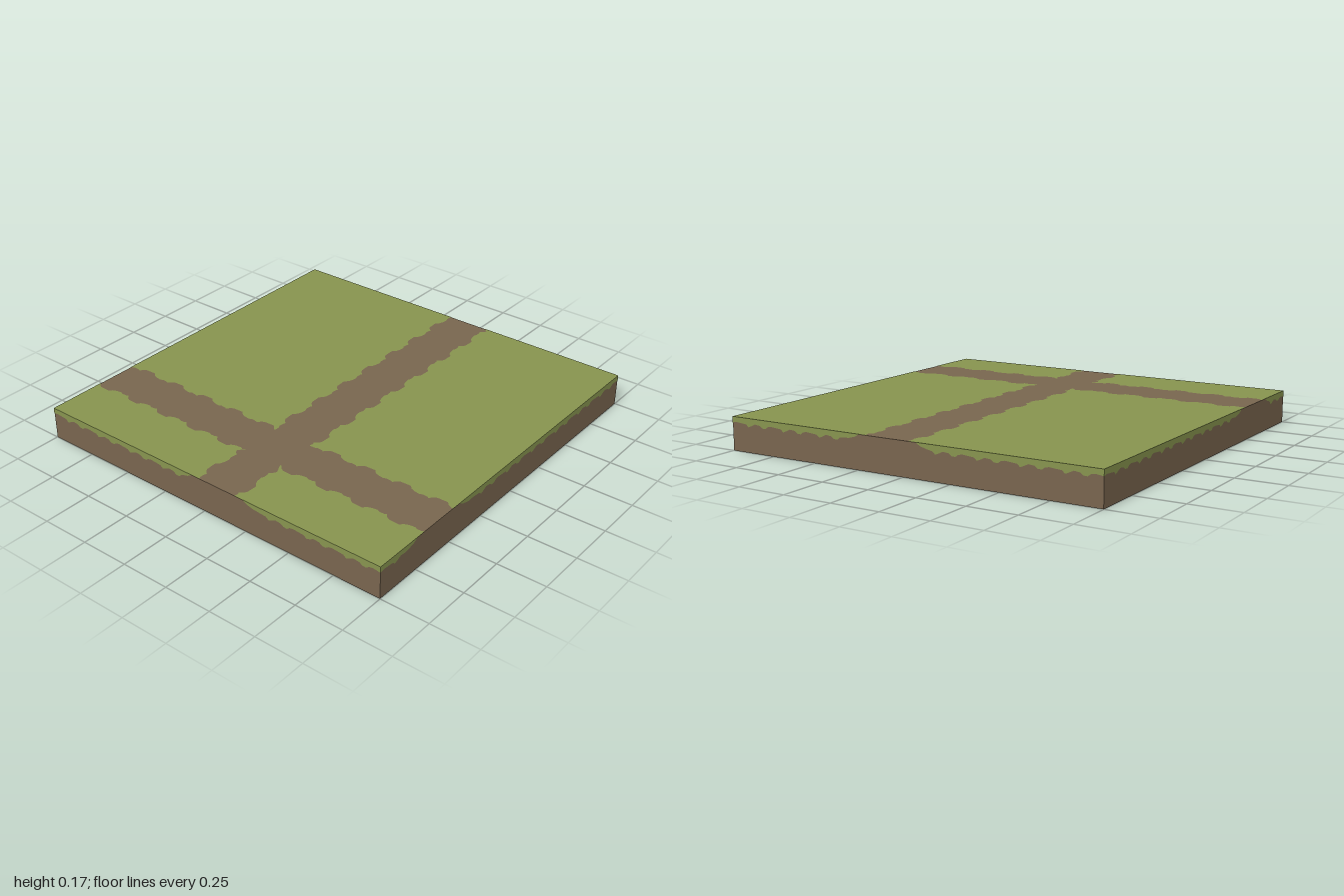
import * as THREE from 'three';

const H = 0.167; // slab height
const GAP = 0.001; // how far the grass sits proud of the soil

// Repeating edge rules: [position within one period, offset]
const scallop = [[0, 0], [0.015, 0.018], [0.03, 0.026], [0.085, 0.028], [0.1, 0.012], [0.12, 0.004], [0.15, 0], [0.165, 0.007], [0.19, 0.005]];
const drips = [[0, 0], [0.03, 0.003], [0.045, 0.014], [0.065, 0.015], [0.08, 0.004], [0.1, 0], [0.135, 0.003], [0.16, 0.005], [0.175, 0.018], [0.19, 0.012]];

// Points [t, offset] along a ragged edge strictly between a and b
function ragged(a, b, rule, period, phase) {
  const points = [];
  for (let k = Math.floor((a - phase) / period); k <= Math.ceil((b - phase) / period); k++) {
    for (const [t, d] of rule) {
      const p = phase + k * period + t;
      if (p > a + 0.005 && p < b - 0.005) points.push([p, d]);
    }
  }
  return points;
}

function flatShape(points, material, name) {
  const shape = new THREE.Shape(points.map(([x, y]) => new THREE.Vector2(x, y)));
  const mesh = new THREE.Mesh(new THREE.ShapeGeometry(shape), material);
  mesh.name = name;
  return mesh;
}

// One corner field of grass, straight outside and ragged along both paths
function grassField(sx, sz, edgeX, edgeZ, phaseX, phaseZ, material, name) {
  const span = (s, e) => (s > 0 ? [e, 1] : [-1, e]);
  const alongZ = ragged(...span(sz, edgeZ), scallop, 0.2, phaseX).map(([t, d]) => [edgeX + sx * d, t]);
  const alongX = ragged(...span(sx, edgeX), scallop, 0.2, phaseZ).map(([t, d]) => [t, edgeZ + sz * d]);
  if (sz < 0) alongZ.reverse(); // both run from the crossing outwards
  if (sx > 0) alongX.reverse(); // then back towards the crossing
  const outline = [[edgeX, edgeZ], ...alongZ, [edgeX, sz], [sx, sz], [sx, edgeZ], ...alongX];
  const mesh = flatShape(outline.map(([x, z]) => [x, -z]), material, name);
  mesh.rotation.x = -Math.PI / 2;
  mesh.position.y = H;
  return mesh;
}

// Hanging grass on one side, interrupted where the path reaches the rim
function grassRim(gapStart, gapEnd, material, name) {
  const side = new THREE.Group();
  side.name = name;
  const hang = (a, b) => ragged(a, b, drips, 0.215, 0).map(([t, d]) => [t, 0.142 - d]);
  const left = [[-1, H], [-1, 0.137], ...hang(-1, gapStart - 0.07), [gapStart - 0.06, 0.143], [gapStart - 0.025, 0.152], [gapStart, H]];
  const right = [[gapEnd, H], [gapEnd + 0.025, 0.152], [gapEnd + 0.06, 0.143], ...hang(gapEnd + 0.07, 1), [1, 0.137], [1, H]];
  for (const outline of [left, right]) {
    const mesh = flatShape(outline, material, 'hangingGrass');
    mesh.position.z = 1;
    side.add(mesh);
  }
  return side;
}

export function createModel() {
  const group = new THREE.Group();
  group.name = 'crossroadsTile';
  const soil = new THREE.MeshStandardMaterial({ color: 0x78654e });
  soil.name = 'soilBrown';
  const grass = new THREE.MeshStandardMaterial({ color: 0x86934e });
  grass.name = 'grassGreen';

  // Soil slab, whose bare top forms the crossing paths
  const slab = new THREE.Mesh(new THREE.BoxGeometry(2 - 2 * GAP, H - GAP, 2 - 2 * GAP), soil);
  slab.name = 'soilSlab';
  slab.position.y = (H - GAP) / 2;
  group.add(slab);

  // Grass fields around the crossing
  group.add(
    grassField(-1, -1, -0.69, -0.022, 0.0, 0.05, grass, 'backRightGrass'),
    grassField(1, -1, -0.48, -0.025, 0.06, 0.0, grass, 'backLeftGrass'),
    grassField(-1, 1, -0.69, 0.19, 0.0, 0.03, grass, 'frontRightGrass'),
    grassField(1, 1, -0.48, 0.19, 0.07, 0.15, grass, 'frontLeftGrass'),
  );

  // Grass rims on the four sides, turned about the centre
  const rims = [
    ['frontRim', -0.74, -0.43],
    ['leftRim', -0.24, 0.07],
    ['backRim', 0.43, 0.74],
    ['rightRim', -0.07, 0.24],
  ];
  rims.forEach(([name, a, b], i) => {
    const rim = grassRim(a, b, grass, name);
    rim.rotation.y = (i * Math.PI) / 2;
    group.add(rim);
  });

  return group;
}
